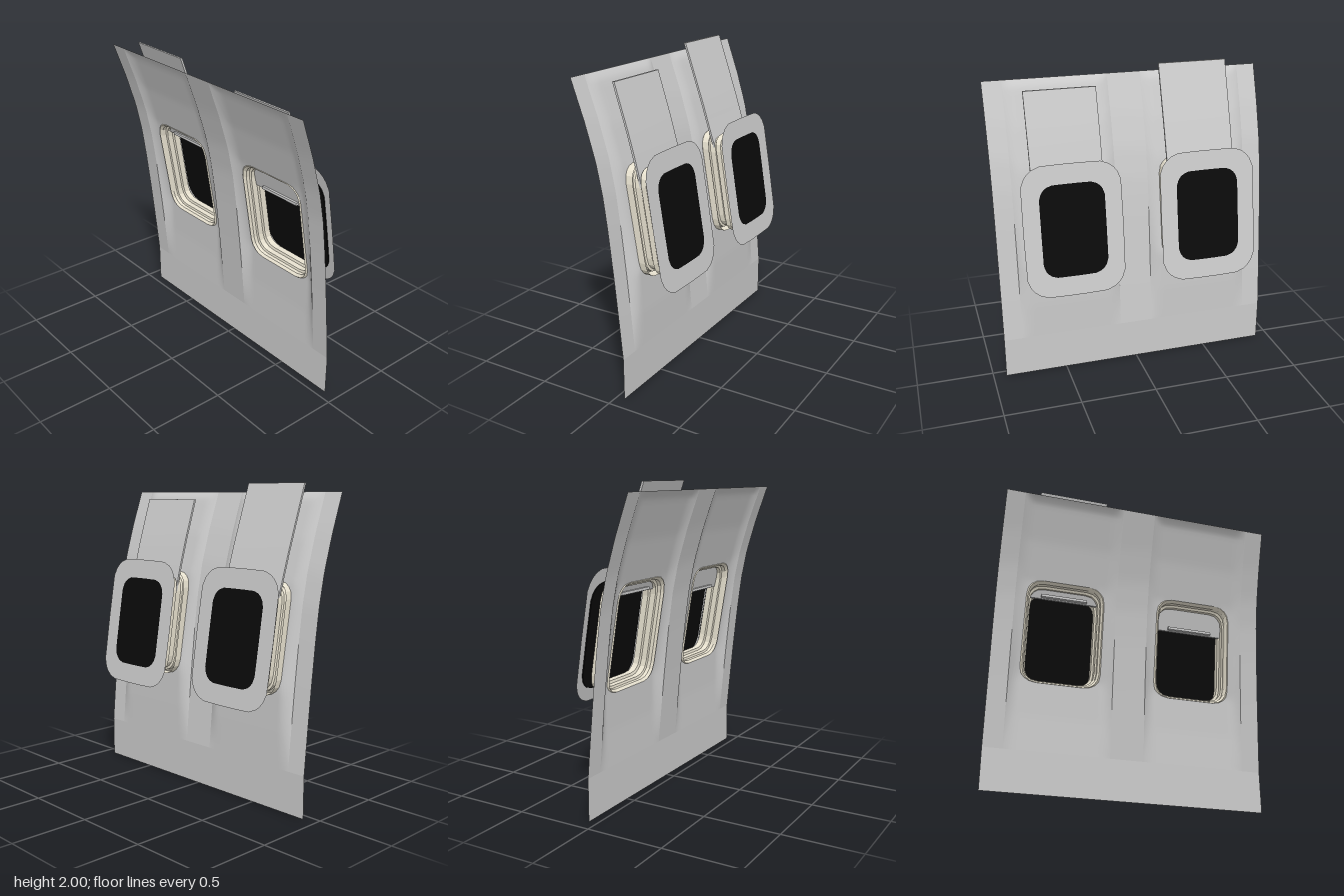
import * as THREE from 'three';
import { toCreasedNormals } from 'three/addons/utils/BufferGeometryUtils.js';

const WX = 0.45, WY = 1.068;          // window centre
const Y0 = 0.27, Y1 = 1.945, BAY = 0.34;

// side profiles as [y, z]: the raised ribs, and the recessed window bays
const RIB = [[0.27, -0.055], [0.5, -0.034], [0.77, -0.008], [1.07, 0.025], [1.28, 0.053], [1.48, 0.094], [1.7, 0.16], [1.945, 0.247]];
const RECESS = [[0.27, -0.055], [0.5, -0.058], [0.77, -0.055], [1.07, -0.005], [1.4, 0.05], [1.66, 0.125], [1.91, 0.215], [1.945, 0.247]];

function along(table, y) {
  let i = 1;
  while (i < table.length - 1 && table[i][0] < y) i++;
  const [a, za] = table[i - 1], [b, zb] = table[i];
  return za + (zb - za) * (y - a) / (b - a);
}

function material(color, flatShading = false) {
  return new THREE.MeshStandardMaterial({ color, flatShading, side: THREE.DoubleSide });
}

// skin a list of equally long point rows
function loft(rows, closed) {
  const n = rows[0].length, index = [];
  for (let r = 0; r < rows.length - 1; r++) {
    for (let i = 0; i < (closed ? n : n - 1); i++) {
      const j = (i + 1) % n, a = r * n + i, b = r * n + j, c = a + n, d = b + n;
      index.push(a, b, d, a, d, c);
    }
  }
  const geo = new THREE.BufferGeometry();
  geo.setAttribute('position', new THREE.Float32BufferAttribute(rows.flat(2), 3));
  geo.setIndex(index);
  geo.computeVertexNormals();
  return geo;
}

// points around the square [-1, 1]
function squareLoop(us, vs) {
  return [
    ...us.slice(0, -1).map(u => [u, -1]),
    ...vs.slice(0, -1).map(v => [1, v]),
    ...us.slice(0, -1).map(u => [-u, 1]),
    ...vs.slice(0, -1).map(v => [-1, -v]),
  ];
}

// push a square point onto a rounded rectangle
function rounded([u, v], hw, hh, r) {
  const x = u * hw, y = v * hh;
  const qx = THREE.MathUtils.clamp(x, r - hw, hw - r), qy = THREE.MathUtils.clamp(y, r - hh, hh - r);
  const d = Math.hypot(x - qx, y - qy);
  return d > 0 ? [qx + (x - qx) * r / d, qy + (y - qy) * r / d] : [x, y];
}

const COARSE = squareLoop([-1, -0.8, -0.6, -0.2, 0.2, 0.6, 0.8, 1], [-1, -0.85, -0.7, 0, 0.7, 0.85, 1]);

// window ring: steps are [half width, half height, corner radius, depth], leaning with the wall
function windowLoft(steps) {
  return loft(steps.map(([hw, hh, r, z]) => COARSE.map(p => {
    const [x, y] = rounded(p, hw, hh, r);
    return [x, WY + y, z + 0.162 * y];
  })), true);
}

// recessed bay of the wall, from the window opening to the bay's border
function bayGeometry() {
  const fine = Array.from({ length: 29 }, (_, i) => -1 + i / 14);
  const loop = squareLoop(fine, fine);
  const rows = [];
  for (let k = 0; k <= 18; k++) {
    const t = k / 18;
    rows.push(loop.map(p => {
      const [hx, hy] = rounded(p, 0.255, 0.34, 0.1);
      const x = THREE.MathUtils.lerp(hx, p[0] * BAY, t);
      const y = THREE.MathUtils.lerp(WY + hy, (Y0 + Y1) / 2 + p[1] * (Y1 - Y0) / 2, t);
      const s = THREE.MathUtils.clamp((BAY - Math.abs(x)) / 0.085, 0, 1);
      const sunk = 1 - (1 - s) ** 2;
      return [x, y, THREE.MathUtils.lerp(along(RIB, y), along(RECESS, y), sunk)];
    }));
  }
  return loft(rows, true);
}

// upright rib of the wall between two x positions
function ribGeometry(xa, xb) {
  const rows = [];
  for (let i = 0; i <= 28; i++) {
    const y = Y0 + (Y1 - Y0) * i / 28, z = along(RIB, y);
    rows.push([[xa, y, z], [xb, y, z]]);
  }
  return loft(rows, false);
}

// sliding shade, bent to follow its [y, z] path
function shadeGeometry(path, width) {
  const bottom = path[0][0], top = path[path.length - 1][0];
  const geo = new THREE.BoxGeometry(width, 1, 0.014, 1, 10, 1);
  const pos = geo.attributes.position;
  for (let i = 0; i < pos.count; i++) {
    const y = bottom + (pos.getY(i) + 0.5) * (top - bottom);
    pos.setXYZ(i, pos.getX(i), y, pos.getZ(i) + along(path, y));
  }
  return toCreasedNormals(geo, 0.5);
}

export function createModel() {
  const model = new THREE.Group();
  const grey = material(0xcccccc), greyFlat = material(0xcccccc, true);
  const cream = material(0xe8e2d0, true), black = material(0x0a0a0a, true);
  const add = (parent, name, geo, mat) => {
    const mesh = new THREE.Mesh(geo, mat);
    mesh.name = name;
    parent.add(mesh);
    return mesh;
  };

  // wall panel: skirt and ribs
  const skirt = add(model, 'wallSkirt', new THREE.PlaneGeometry(1.83, Y0), grey);
  skirt.position.set(0, Y0 / 2, -0.055);
  const outer = WX + BAY, inner = WX - BAY;
  add(model, 'rightRib', ribGeometry(-0.915, -outer), grey);
  add(model, 'middleRib', ribGeometry(-inner, inner), grey);
  add(model, 'leftRib', ribGeometry(outer, 0.915), grey);

  const bay = bayGeometry();
  // stepped window surround
  const frame = windowLoft([
    [0.268, 0.345, 0.1, -0.055], [0.268, 0.345, 0.1, -0.008], [0.255, 0.34, 0.1, 0.002],
    [0.243, 0.325, 0.09, -0.015], [0.243, 0.325, 0.09, -0.04], [0.233, 0.31, 0.085, -0.046],
    [0.233, 0.31, 0.085, -0.085], [0.22, 0.293, 0.08, -0.092], [0.22, 0.293, 0.08, -0.135],
    [0.25, 0.33, 0.09, -0.135], [0.25, 0.33, 0.09, -0.1],
  ]);
  // dark pane and the flat ring behind it
  const pane = windowLoft([
    [0, 0, 0, -0.176], [0.28, 0.335, 0.12, -0.176], [0.28, 0.335, 0.12, -0.184], [0, 0, 0, -0.184],
  ]);
  const ring = windowLoft([[0.322, 0.42, 0.16, -0.188], [0.21, 0.295, 0.1, -0.188]]);

  const shades = {
    right: { path: [[1.32, -0.035], [1.4, -0.008], [1.6, 0.055], [2, 0.193]], width: 0.46 },
    left: { path: [[1.225, -0.062], [1.4, -0.02], [1.6, 0.035], [1.895, 0.128]], width: 0.465 },
  };
  for (const [side, { path, width }] of Object.entries(shades)) {
    const unit = new THREE.Group();
    unit.name = side + 'Window';
    unit.position.x = side === 'left' ? WX - 0.003 : -WX;
    add(unit, 'windowFrame', frame, cream);
    add(unit, 'windowPane', pane, black);
    add(unit, 'rearRing', ring, greyFlat);
    add(unit, 'windowShade', shadeGeometry(path, width), grey);
    // finger grip near the lower edge of the shade
    const grip = add(unit, 'shadeGrip', new THREE.BoxGeometry(0.31, 0.018, 0.02), greyFlat);
    const gy = path[0][0] + 0.016;
    grip.position.set(0, gy, along(path, gy) + 0.014);
    model.add(unit);

    add(model, side + 'WallBay', bay, grey).position.x = side === 'left' ? WX : -WX;
  }
  return model;
}
